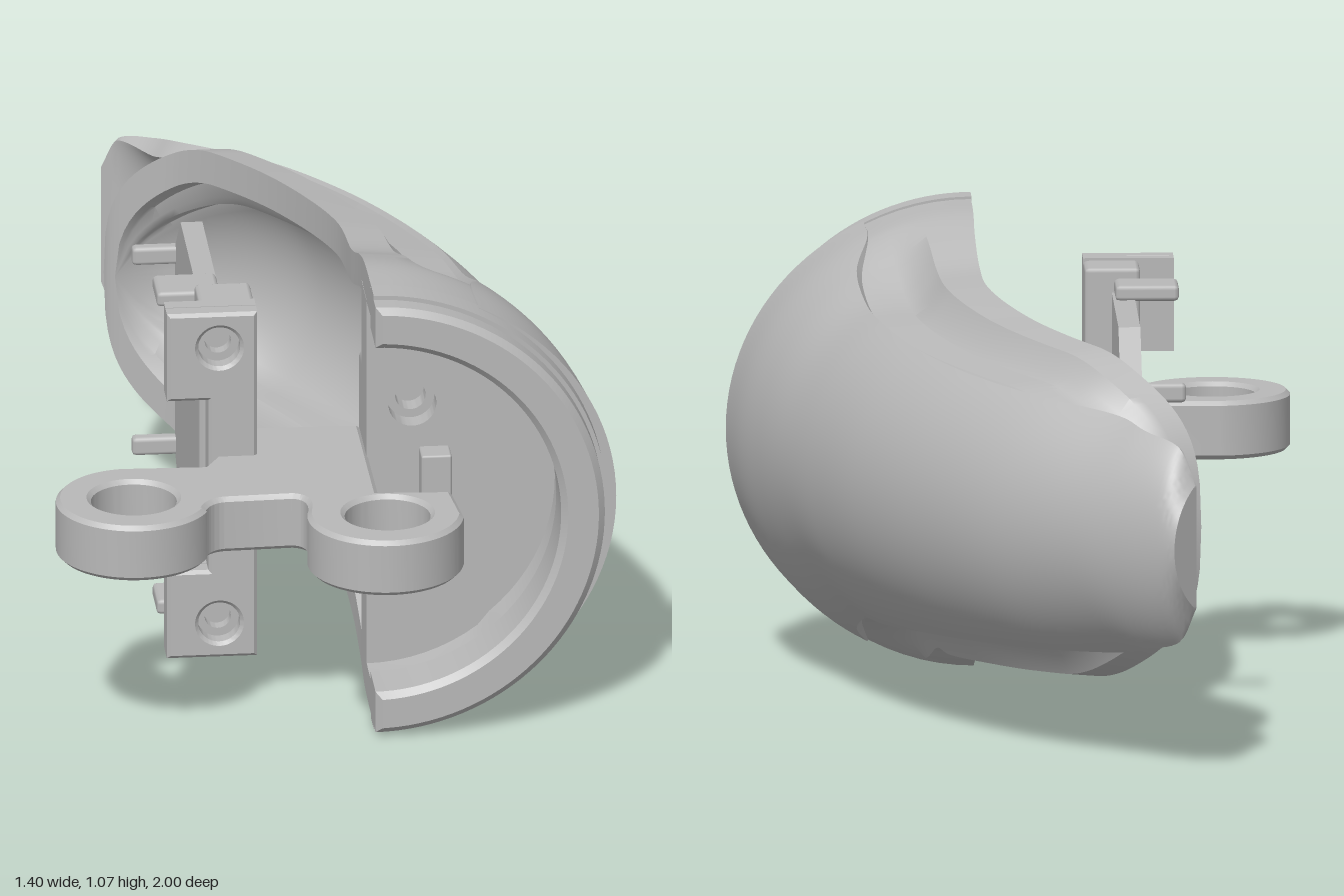
import * as THREE from 'three';
import { toCreasedNormals } from 'three/addons/utils/BufferGeometryUtils.js';
import { RoundedBoxGeometry } from 'three/addons/geometries/RoundedBoxGeometry.js';

const MID = 0.53; // height of the symmetry plane
const grey = new THREE.MeshStandardMaterial({ color: 0xb8b8b8 });
grey.name = 'plain grey';

function add(parent, name, geometry, x = 0, y = 0, z = 0) {
  const mesh = new THREE.Mesh(geometry, grey);
  mesh.name = name;
  mesh.position.set(x, y, z);
  parent.add(mesh);
  return mesh;
}

// Box given by its limits
function block(parent, name, x0, x1, y0, y1, z0, z1, r = 0.01) {
  return add(parent, name, new RoundedBoxGeometry(x1 - x0, y1 - y0, z1 - z0, 1, r),
    (x0 + x1) / 2, (y0 + y1) / 2, (z0 + z1) / 2);
}

function extrude(shape, depth, bevel = 0) {
  const g = new THREE.ExtrudeGeometry(shape, { depth: depth - 2 * bevel, curveSegments: 32,
    bevelEnabled: bevel > 0, bevelSize: bevel, bevelThickness: bevel, bevelSegments: 1, bevelOffset: -bevel });
  g.translate(0, 0, bevel);
  return toCreasedNormals(g, 0.5);
}

function hole(shape, x, y, r) {
  const p = new THREE.Path();
  p.absarc(x, y, r, 0, Math.PI * 2, true);
  shape.holes.push(p);
}

function polygon(points) {
  return new THREE.Shape(points.map(([x, y]) => new THREE.Vector2(x, y)));
}

function halfRing(R, r) {
  const s = new THREE.Shape();
  s.absarc(0, 0, R, -Math.PI / 2, Math.PI / 2, false);
  s.absarc(0, 0, r, Math.PI / 2, -Math.PI / 2, true);
  s.closePath();
  return s;
}

// Sections along the finger: inner edge x, z, half height, outer edge x, z, skin half angle
const SECTIONS = [
  [0.153, 0.61, 0.53, 0.695, 0.476, 64],
  [0.11, 0.44, 0.522, 0.63, 0.32, 63],
  [0.08, 0.317, 0.492, 0.557, 0.185, 57],
  [0.04, 0.18, 0.445, 0.472, 0.04, 55],
  [-0.024, -0.016, 0.428, 0.37, -0.125, 54],
  [-0.156, -0.238, 0.406, 0.226, -0.335, 53],
  [-0.29, -0.4, 0.39, 0.045, -0.545, 52],
  [-0.47, -0.555, 0.37, -0.16, -0.73, 52],
  [-0.657, -0.65, 0.345, -0.405, -0.88, 52],
  [-0.65, -0.72, 0.32, -0.52, -0.937, 52],
  [-0.72, -0.79, 0.285, -0.625, -0.982, 52],
  [-0.757, -0.82, 0.18, -0.67, -1.0, 52],
];
const innerCurve = new THREE.CatmullRomCurve3(SECTIONS.map(s => new THREE.Vector3(s[0], s[2], s[1])));
const outerCurve = new THREE.CatmullRomCurve3(SECTIONS.map(s => new THREE.Vector3(s[3], s[5] / 1000, s[4])));

// Lofts a C-shaped wall; profile gives depth u and height f for v in -1..1, outside and inside
function channel(last, steps, profile) {
  const n = 40, pos = [], idx = [], ring = 2 * (n + 1);
  for (let j = 0; j <= steps; j++) {
    const k = (j / steps) * last, t = k / (SECTIONS.length - 1);
    const I = innerCurve.getPoint(t), O = outerCurve.getPoint(t);
    const L = Math.hypot(O.x - I.x, O.z - I.z);
    for (let q = 0; q < ring; q++) {
      const inside = q > n, i = inside ? ring - 1 - q : q;
      const [u, f] = profile(k, (2 * i) / n - 1, I.y, L, inside, THREE.MathUtils.degToRad(O.y * 1000));
      pos.push(I.x + (O.x - I.x) * u, MID + I.y * f, I.z + (O.z - I.z) * u);
    }
  }
  for (let j = 0; j < steps; j++) for (let q = 0; q < ring; q++) {
    const a = j * ring + q, b = j * ring + (q + 1) % ring;
    idx.push(a, a + ring, b + ring, a, b + ring, b);
  }
  for (let i = 0; i < n; i++) { // end caps
    const a = i, b = i + 1, c = ring - 2 - i, d = ring - 1 - i, e = steps * ring;
    idx.push(a, b, c, a, c, d, e + a, e + c, e + b, e + a, e + d, e + c);
  }
  const g = new THREE.BufferGeometry();
  g.setAttribute('position', new THREE.Float32BufferAttribute(pos, 3));
  g.setIndex(idx);
  return toCreasedNormals(g, 0.6);
}

// Thin wall that becomes solid towards the fingertip
function skinProfile(k, v, h, L, inside, a0) {
  const c = Math.cos(v * a0), s = Math.sin(v * a0);
  if (!inside) return [c, s];
  const u = c - 0.045 * c / L, solid = THREE.MathUtils.smoothstep(k, 8.6, 10.4);
  return [u + (Math.cos(a0) - 0.02 - u) * solid, s - 0.045 * (1 - solid) * s / h];
}

// Rounds the body off towards its far end
function closing(k, end) {
  return Math.sqrt(Math.max(0, 1 - (Math.max(0, k - 6.5) / (end - 6.5)) ** 2));
}

// Ellipse at the base, turning into a raised flange with a groove further up
function bodyProfile(k, v, h, L, inside) {
  const a = v * Math.PI / 2, c = Math.cos(a), s = Math.sin(a), edge = 52 / 90;
  let u = c - 0.02 * c / L, f = s;
  const w = THREE.MathUtils.smoothstep(k, 0.9, 2.6);
  if (Math.abs(v) > edge) {
    const p = (Math.abs(v) - edge) / (1 - edge);
    const ff = Math.sign(v) * (0.78 + 0.06 * p + 0.16 * THREE.MathUtils.smoothstep(p, 0.45, 0.65));
    u += (0.6 * (1 - p) - u) * w;
    f += (ff - f) * w;
  } else f -= 0.015 * s / h;
  if (!inside) return [u, f * closing(k, 8)];
  const g = closing(k, 7.75);
  return [(u - 0.09 * c / L) * g, (f - 0.08 * s / h) * g];
}

// Flat link with two hinge eyes
function addLink(parent) {
  const z = 0.818, R = 0.178, s = new THREE.Shape();
  s.moveTo(-0.17, 0.37);
  s.lineTo(0.08, 0.315);
  s.lineTo(0.18, 0.7);
  s.lineTo(0.345, 0.67);
  s.lineTo(0.393, 0.8);
  s.absarc(0.215, z, R, 0, Math.PI, false);
  s.quadraticCurveTo(0.03, 0.75, -0.01, 0.75);
  s.lineTo(-0.15, 0.79);
  s.quadraticCurveTo(-0.19, 0.8, -0.195, 0.85);
  s.absarc(-0.365, z, R, 0.2, Math.PI * 1.4, false);
  s.lineTo(-0.235, 0.61);
  s.closePath();
  hole(s, -0.365, z, 0.098);
  hole(s, 0.22, z, 0.098);
  add(parent, 'hingeLink', extrude(s, 0.135, 0.01), 0, 0.602, 0).rotation.x = Math.PI / 2;
}

// Bracket face with two wide tabs, each with a screw hole
function bracketFace(r) {
  const s = polygon([[-0.248, -0.425], [-0.248, 0.425], [-0.455, 0.425], [-0.455, 0.21],
    [-0.36, 0.21], [-0.36, -0.21], [-0.455, -0.21], [-0.455, -0.425]]);
  for (const y of [-0.34, 0.34]) hole(s, -0.335, y, r);
  return s;
}

function addBracket(parent) {
  add(parent, 'bracketFace', extrude(bracketFace(0.048), 0.05, 0.008), 0, 0, 0.436);
  add(parent, 'bracketFaceBack', extrude(bracketFace(0.03), 0.036), 0, 0, 0.405);
  block(parent, 'bracketBody', -0.375, -0.248, -0.42, 0.42, 0.29, 0.41);
  for (const s of [-1, 1]) {
    const y = s * 0.38;
    block(parent, 'bracketClip', -0.46, -0.315, y - 0.018, y + 0.018, 0.175, 0.29);
    block(parent, 'plateHook', -0.46, -0.32, s * 0.235 - 0.022, s * 0.235 + 0.022, -0.345, -0.31);
  }
  // Touch plate with chamfered far corners
  const plate = polygon([[-0.32, -0.365], [0.2, -0.365], [0.335, -0.25],
    [0.335, 0.25], [0.2, 0.365], [-0.32, 0.365]]);
  add(parent, 'touchPlate', extrude(plate, 0.05), -0.36, 0, 0).rotation.y = Math.PI / 2;
}

// Collar and screw face at the finger base
function addBase(parent) {
  add(parent, 'collar', extrude(halfRing(0.525, 0.425), 0.15, 0.015), 0, 0, 0.584);
  add(parent, 'collarStep', extrude(halfRing(0.535, 0.44), 0.065), 0, 0, 0.61);
  // Screw face in two quarters and three layers: counterbore, bore, floor
  for (const side of [-1, 1]) for (const [r, z, depth] of [[0.055, 0.45, 0.05], [0.035, 0.4, 0.05], [0, 0.38, 0.02]]) {
    const s = new THREE.Shape();
    s.moveTo(0, 0);
    s.lineTo(0.45, 0);
    s.absarc(0, 0, 0.45, 0, side * Math.PI / 2, side < 0);
    s.closePath();
    if (r) hole(s, 0.105, side * 0.192, r);
    add(parent, 'screwFace', extrude(s, depth), 0, 0, z);
  }
  block(parent, 'baseWeb', 0, 0.05, -0.26, 0.26, 0.3, 0.42, 0.02);
  block(parent, 'linkKey', 0.12, 0.19, -0.085, 0.085, 0.48, 0.56, 0.005);
}

export function createModel() {
  const model = new THREE.Group();
  model.name = 'fingerSegment';
  add(model, 'outerSkin', channel(11, 88, skinProfile));
  add(model, 'innerBody', channel(8, 128, bodyProfile));
  addLink(model);

  // Parts square to the finger base
  const base = new THREE.Group();
  base.name = 'fingerBase';
  base.position.y = MID;
  base.rotation.y = 0.244;
  model.add(base);
  addBase(base);
  addBracket(base);
  return model;
}
